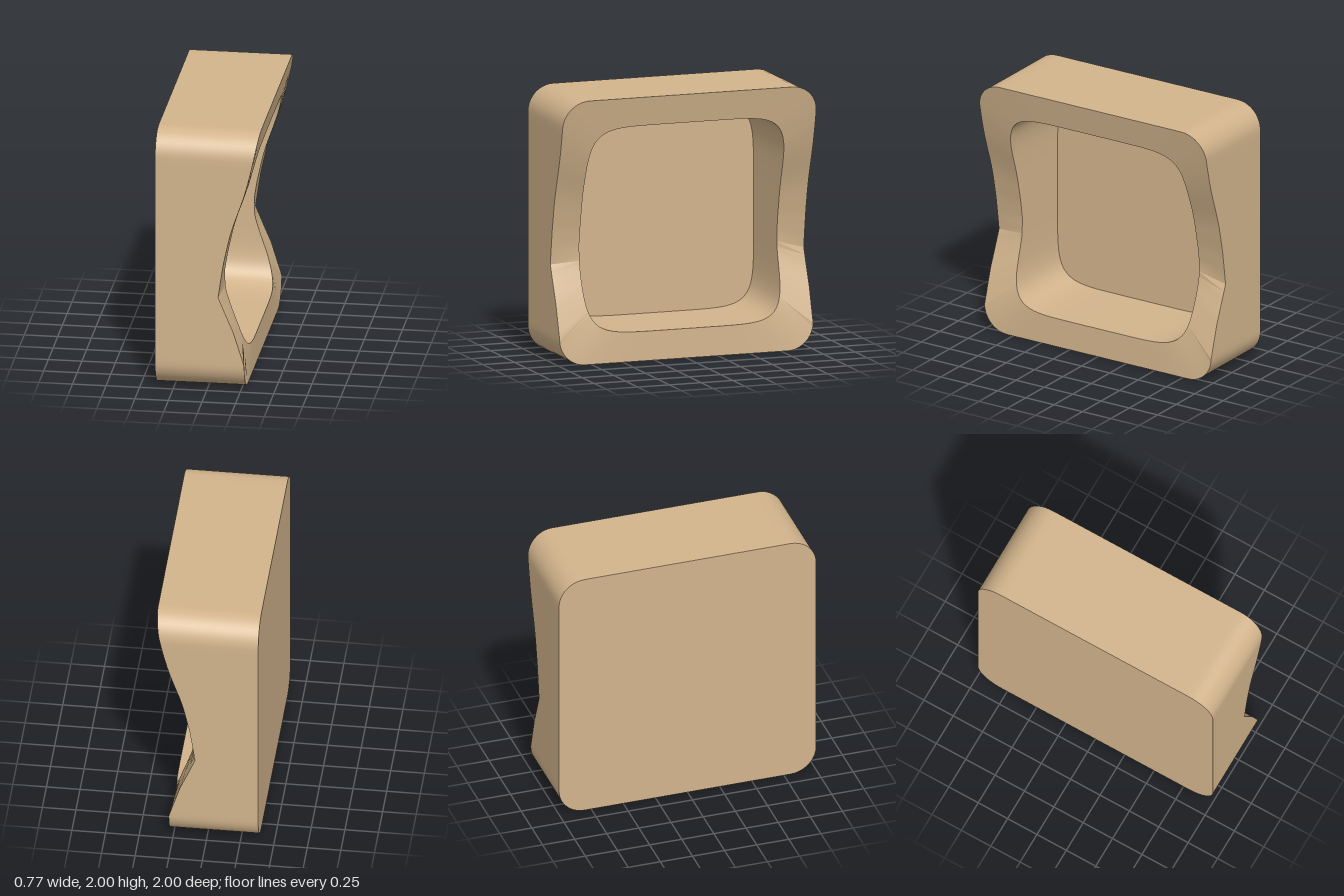
import * as THREE from 'three';
import { toCreasedNormals } from 'three/addons/utils/BufferGeometryUtils.js';

const BACK = -0.385, FLOOR = -0.35;

// Rim depth (x) by height (y): wavy edge with a notch below the middle
const outerEdge = [[0, 0.28], [0.2, 0.28], [0.46, 0.2], [0.6, 0.14], [0.733, 0.085], [0.87, 0.105], [1, 0.125],
  [1.2, 0.168], [1.3, 0.197], [1.45, 0.25], [1.56, 0.286], [1.7, 0.322], [1.85, 0.355], [2, 0.382]];
const innerEdge = outerEdge.map(([y, x]) => [y, y > 0.5 && y < 0.8 ? x + (y > 0.7 ? 0.025 : 0.01) : x]);

function depthAt(table, y) {
  for (let i = 1; i < table.length; i++) {
    const [y0, x0] = table[i - 1], [y1, x1] = table[i];
    if (y <= y1) return x0 + (x1 - x0) * Math.max(0, (y - y0) / (y1 - y0));
  }
  return table[table.length - 1][1];
}

// Rounded square outline as [y, z] about its middle, running from +y towards +z
function roundedSquare(half, radius, sideSteps, cornerSteps) {
  const points = [], flat = half - radius;
  for (let side = 0; side < 4; side++) {
    const c = Math.round(Math.cos(side * Math.PI / 2)), s = Math.round(Math.sin(side * Math.PI / 2));
    const add = (y, z) => points.push([y * c - z * s, y * s + z * c]);
    for (let i = 0; i < sideSteps; i++) add(half, -flat + 2 * flat * i / sideSteps);
    for (let i = 0; i < cornerSteps; i++) {
      const a = i / cornerSteps * Math.PI / 2;
      add(flat + radius * Math.cos(a), flat + radius * Math.sin(a));
    }
  }
  return points;
}

// Push an outline point radially onto a soft square of the given half size
function softSquare([y, z], half) {
  const n = 6.7;
  const k = half / Math.pow(Math.abs(y) ** n + Math.abs(z) ** n, 1 / n);
  return [y * k, z * k];
}

// Skin between two closed rings
function skin(name, a, b, material) {
  const positions = [], ab = new THREE.Vector3(), ac = new THREE.Vector3();
  const tri = (p, q, r) => {
    ab.subVectors(q, p);
    ac.subVectors(r, p);
    if (ab.cross(ac).length() > 1e-9) for (const v of [p, q, r]) positions.push(v.x, v.y, v.z);
  };
  a.forEach((p, i) => {
    const j = (i + 1) % a.length;
    tri(p, a[j], b[j]);
    tri(p, b[j], b[i]);
  });
  const geometry = new THREE.BufferGeometry();
  geometry.setAttribute('position', new THREE.Float32BufferAttribute(positions, 3));
  const mesh = new THREE.Mesh(toCreasedNormals(geometry, 0.35), material);
  mesh.name = name;
  return mesh;
}

export function createModel() {
  const group = new THREE.Group();
  group.name = 'openTray';
  const tan = new THREE.MeshStandardMaterial({ color: 0xd2b48c });
  tan.name = 'tan';

  const outline = roundedSquare(1, 0.2, 30, 10);
  const ring = (map, depth) => outline.map((p) => {
    const [y, z] = map(p);
    return new THREE.Vector3(depth(y + 1), y + 1, z);
  });
  const same = (p) => p, centre = () => [0, 0];

  const backCentre = ring(centre, () => BACK);
  const back = ring(same, () => BACK);
  const rimOuter = ring(same, (y) => depthAt(outerEdge, y));
  const rimInner = ring((p) => softSquare(p, 0.78), (y) => depthAt(innerEdge, y));
  const floor = ring((p) => softSquare(p, 0.768), () => FLOOR);
  const floorCentre = ring(centre, () => FLOOR);

  group.add(
    skin('backPanel', backCentre, back, tan),
    skin('outerWall', back, rimOuter, tan),
    skin('wavyRim', rimOuter, rimInner, tan),
    skin('innerWall', rimInner, floor, tan),
    skin('recessFloor', floor, floorCentre, tan),
  );
  return group;
}
